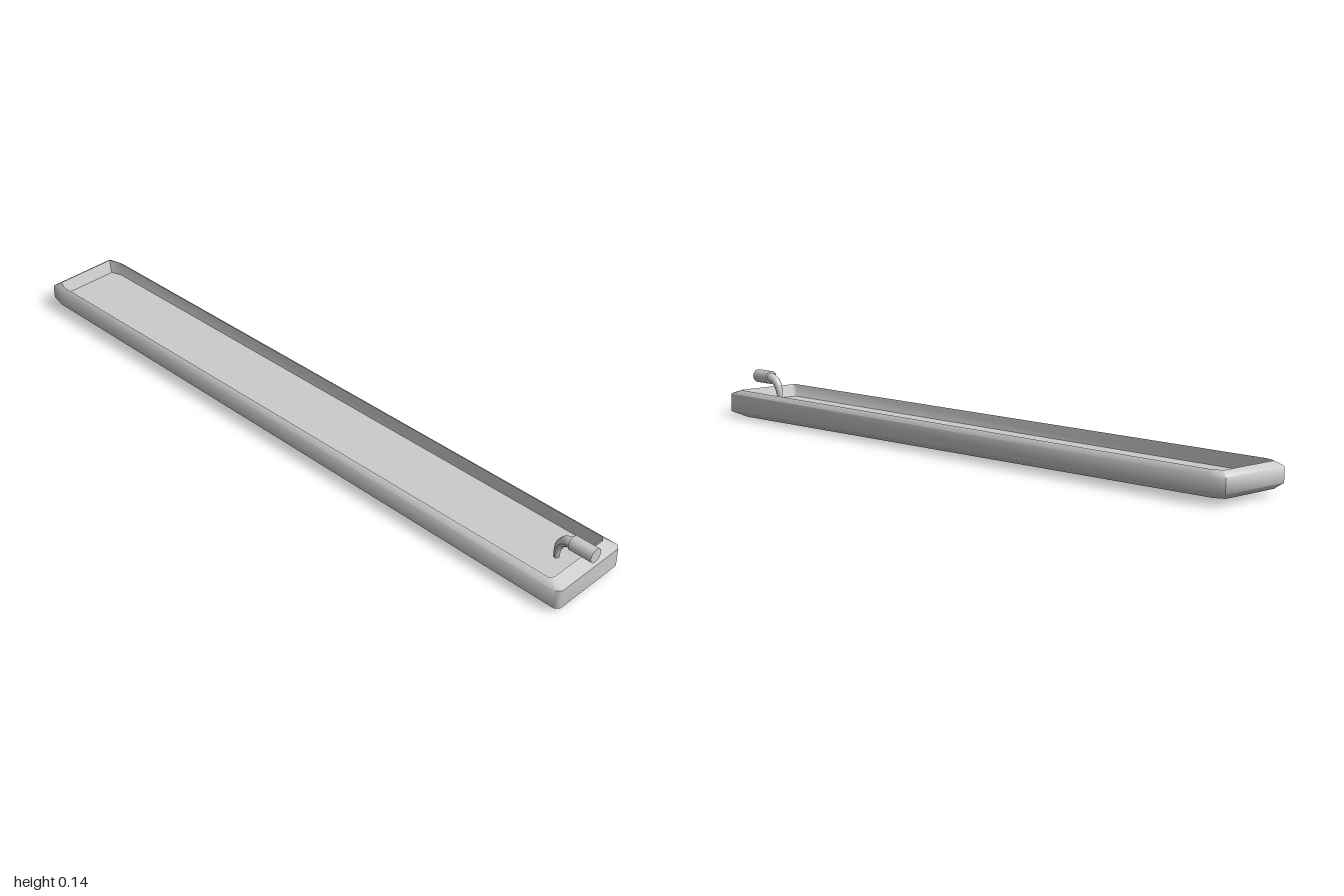
import * as THREE from 'three';
import { toCreasedNormals } from 'three/addons/utils/BufferGeometryUtils.js';

const grey = () => new THREE.MeshStandardMaterial({ color: 0xcccccc });

// Rectangle with clipped corners, as [x, z] points
function outline(xl, xr, w, cutL, cutR) {
  const cz = 0.012;
  return [
    [xr - cutR, w], [xr, w - cz], [xr, cz - w], [xr - cutR, -w],
    [xl + cutL, -w], [xl, cz - w], [xl, w - cz], [xl + cutL, w],
  ];
}

// Underside rises gently towards the far end
const under = (x) => Math.max(0, 0.0076 * (0.94 - x));

// Skin stacked outlines, closing the first and the last one
function stack(layers) {
  const pos = [], idx = [], n = 8;
  for (const { ring, y } of layers) {
    for (const [x, z] of ring) pos.push(x, y(x), z);
  }
  const last = (layers.length - 1) * n;
  for (let k = 0; k < last; k += n) {
    for (let i = 0; i < n; i++) {
      const a = k + i, b = k + (i + 1) % n;
      idx.push(a, b, a + n, b, b + n, a + n);
    }
  }
  for (let i = 1; i < n - 1; i++) {
    idx.push(0, i + 1, i, last, last + i, last + i + 1);
  }
  const g = new THREE.BufferGeometry();
  g.setAttribute('position', new THREE.Float32BufferAttribute(pos, 3));
  g.setIndex(idx);
  return toCreasedNormals(g, 1.1);
}

// Tube whose radius grows along the path
function taperedTube(path, segments, r0, r1, sides) {
  const g = new THREE.TubeGeometry(path, segments, 1, sides, false);
  const p = g.attributes.position, v = new THREE.Vector3();
  for (let i = 0; i < p.count; i++) {
    const t = Math.floor(i / (sides + 1)) / segments;
    const c = path.getPointAt(t);
    v.fromBufferAttribute(p, i).sub(c).multiplyScalar(r0 + (r1 - r0) * t).add(c);
    p.setXYZ(i, v.x, v.y, v.z);
  }
  g.computeVertexNormals();
  return g;
}

export function createModel() {
  const model = new THREE.Group();
  const add = (name, geometry) => {
    const mesh = new THREE.Mesh(geometry, grey());
    mesh.name = name;
    model.add(mesh);
    return mesh;
  };

  // Long shallow tray: underside, side band, rim, then down to the sunken floor
  add('tray', stack([
    { ring: outline(-0.985, 0.93, 0.104, 0.03, 0.01), y: under },
    { ring: outline(-1, 0.993, 0.124, 0.05, 0.012), y: (x) => under(x) + 0.014 },
    { ring: outline(-1, 0.993, 0.124, 0.05, 0.012), y: () => 0.07 },
    { ring: outline(-0.98, 0.955, 0.108, 0.03, 0.008), y: () => 0.083 },
    { ring: outline(-0.968, 0.945, 0.103, 0.03, 0.008), y: () => 0.045 },
  ]));

  // Slim neck curving up out of the tray
  const z = -0.004;
  const path = new THREE.CatmullRomCurve3([
    [0.885, 0.04], [0.887, 0.07], [0.895, 0.094], [0.912, 0.11], [0.94, 0.116],
  ].map(([x, y]) => new THREE.Vector3(x, y, z)));
  add('neck', taperedTube(path, 16, 0.007, 0.017, 10)).material.side = THREE.DoubleSide;

  // Thicker sleeve on the end of the neck
  const sleeve = add('sleeve', new THREE.CylinderGeometry(0.021, 0.021, 0.07, 12));
  sleeve.rotation.z = -Math.PI / 2;
  sleeve.position.set(0.965, 0.116, z);

  return model;
}
